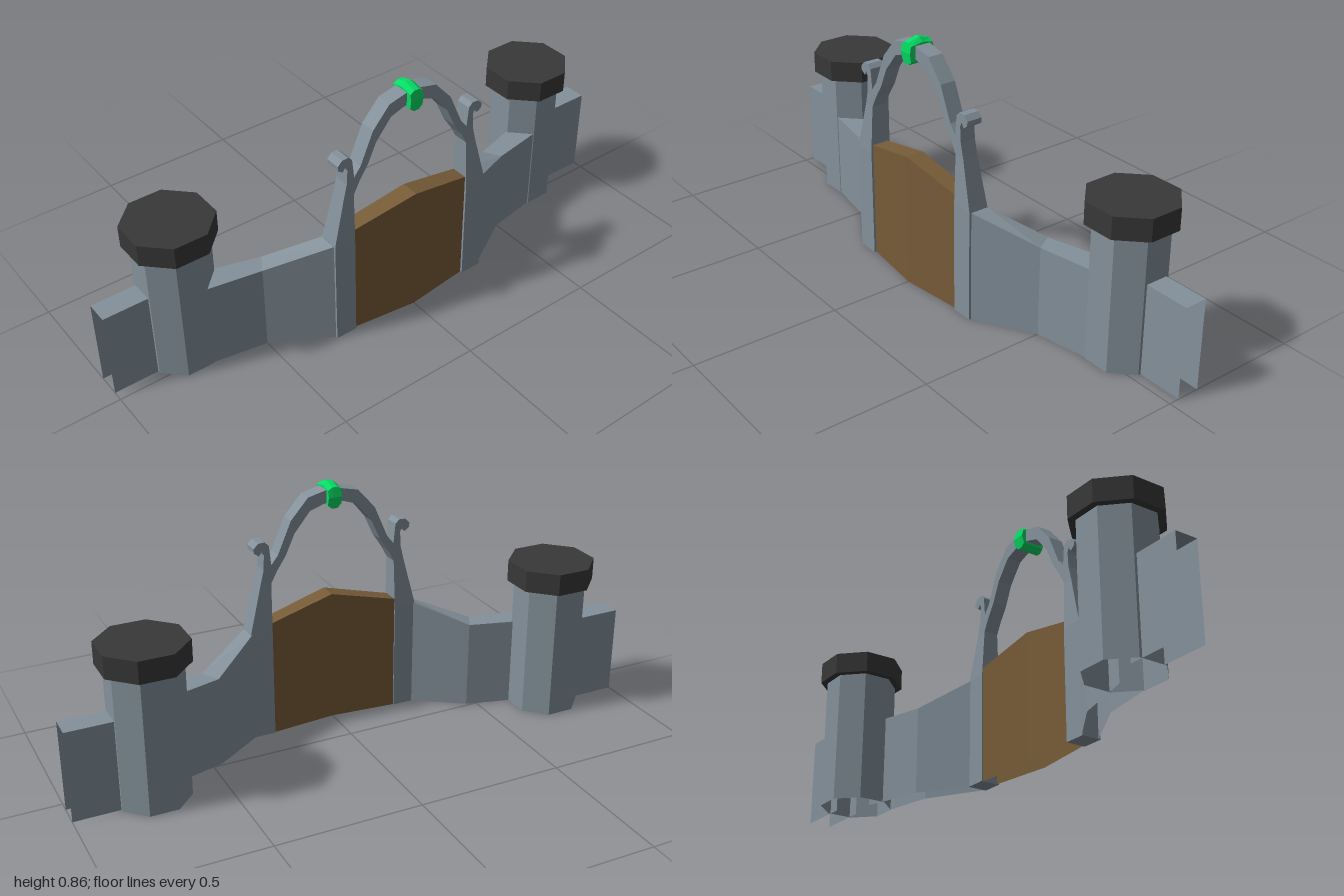
import * as THREE from 'three';

const mat = (color) => new THREE.MeshStandardMaterial({ color, flatShading: true, side: THREE.DoubleSide });

// Skin over cross-sections ordered from +z to -z; each runs from the outer foot, up and over
function loft(rings, closed = false) {
  const n = rings[0].length, pos = [];
  const tri = (...pts) => pts.forEach((p) => pos.push(...p));
  for (let i = 0; i + 1 < rings.length; i++) {
    for (let j = 0; j < (closed ? n : n - 1); j++) {
      const k = (j + 1) % n;
      const [a, b, c, d] = [rings[i][j], rings[i][k], rings[i + 1][k], rings[i + 1][j]];
      tri(a, d, b);
      tri(d, c, b);
    }
  }
  if (closed) {
    const first = rings[0], last = rings[rings.length - 1];
    for (let j = 1; j < n - 1; j++) {
      tri(first[0], first[j], first[j + 1]);
      tri(last[0], last[j + 1], last[j]);
    }
  }
  const g = new THREE.BufferGeometry();
  g.setAttribute('position', new THREE.Float32BufferAttribute(pos, 3));
  g.computeVertexNormals();
  return g;
}

// Wall section, open at the bottom: outer and inner [x, z], with top height
const section = ([ox, oz], [ix, iz], h) => [[ox, 0, oz], [ox, h, oz], [ix, h, iz], [ix, 0, iz]];

// Slab from a [z, y] outline, centred on x = 0
function slab(points, width) {
  const shape = new THREE.Shape(points.map(([z, y]) => new THREE.Vector2(z, y)));
  const g = new THREE.ExtrudeGeometry(shape, { depth: width, bevelEnabled: false });
  g.translate(0, 0, -width / 2);
  g.rotateY(-Math.PI / 2);
  return g;
}

function octagon(apothem, height, open) {
  const r = apothem / Math.cos(Math.PI / 8);
  return new THREE.CylinderGeometry(r, r, height, 8, 1, open).rotateY(Math.PI / 8);
}

export function createModel() {
  const model = new THREE.Group();
  const stone = mat(0x84919b), roof = mat(0x383838), wood = mat(0x775c38), gem = mat(0x05dc64);
  const add = (name, geometry, material, x = 0, y = 0, z = 0) => {
    const mesh = new THREE.Mesh(geometry, material);
    mesh.name = name;
    mesh.position.set(x, y, z);
    model.add(mesh);
    return mesh;
  };
  const archX = 0.156;

  for (const s of [1, -1]) {
    const side = s > 0 ? 'front' : 'back';
    const skin = (rings) => loft(s > 0 ? rings : rings.reverse());

    // Tower with its flat cap
    add(side + 'Tower', octagon(0.115, 0.466, true), stone, -0.074, 0.233, s * 0.731);
    add(side + 'TowerCap', octagon(0.137, 0.075, false), roof, -0.074, 0.5025, s * 0.731);

    // Short outer wall, open at its end
    add(side + 'OuterWall', skin([
      section([-0.035, s], [-0.113, s], 0.31),
      section([-0.035, s * 0.8], [-0.113, s * 0.8], 0.31),
    ]), stone);

    // Bent wall rising to the gate
    add(side + 'CurvedWall', skin([
      section([0.037, s * 0.69], [-0.05, s * 0.68], 0.31),
      section([0.07, s * 0.5], [0.01, s * 0.465], 0.31),
      section([0.187, s * 0.3], [0.122, s * 0.3], 0.385),
    ]), stone);

    // Gate post and the tapering part above it
    add(side + 'GatePost', new THREE.BoxGeometry(0.07, 0.385, 0.077), stone, archX, 0.1925, s * 0.2675);
    const taper = slab([[0.306, 0.385], [0.264, 0.55], [0.226, 0.55], [0.229, 0.385]]
      .map(([z, y]) => [s * z, y]), 0.07);
    const p = taper.attributes.position;
    for (let i = 0; i < p.count; i++) if (p.getY(i) > 0.5) p.setX(i, p.getX(i) * 0.77);
    taper.computeVertexNormals();
    add(side + 'PostTaper', taper, stone, archX);
  }

  // Arch with an outward hook on each side
  const outer = [
    [0.264, 0.55], [0.252, 0.6], [0.249, 0.652], [0.256, 0.668], [0.266, 0.652], [0.283, 0.664],
    [0.284, 0.68], [0.268, 0.696], [0.245, 0.697], [0.231, 0.683], [0.224, 0.615], [0.2, 0.645],
    [0.152, 0.755], [0.09, 0.825],
  ];
  const inner = [[0.04, 0.793], [0.084, 0.778], [0.14, 0.71], [0.172, 0.64], [0.205, 0.59], [0.226, 0.55]];
  const mirrored = (pts) => pts.map(([z, y]) => [-z, y]).reverse();
  add('arch', slab([...outer, [0, 0.846], ...mirrored(outer), ...mirrored(inner), [0, 0.802], ...inner], 0.054),
    stone, archX);

  // Bowed gate with a peaked top
  add('gate', loft([
    section([0.183, 0.23], [0.125, 0.23], 0.41),
    section([0.21, 0], [0.145, 0], 0.464),
    section([0.183, -0.23], [0.125, -0.23], 0.41),
  ]), wood);

  // Faceted keystone
  const outline = [[0.2, 0.777], [0.204, 0.817], [0.2, 0.85], [0.157, 0.862], [0.118, 0.85], [0.112, 0.817], [0.12, 0.777]];
  add('keystone', loft([[0.024, 0.7], [0.009, 1], [-0.009, 1], [-0.024, 0.7]]
    .map(([z, k]) => outline.map(([x, y]) => [x, 0.818 + (y - 0.818) * k, z])), true), gem);

  return model;
}
